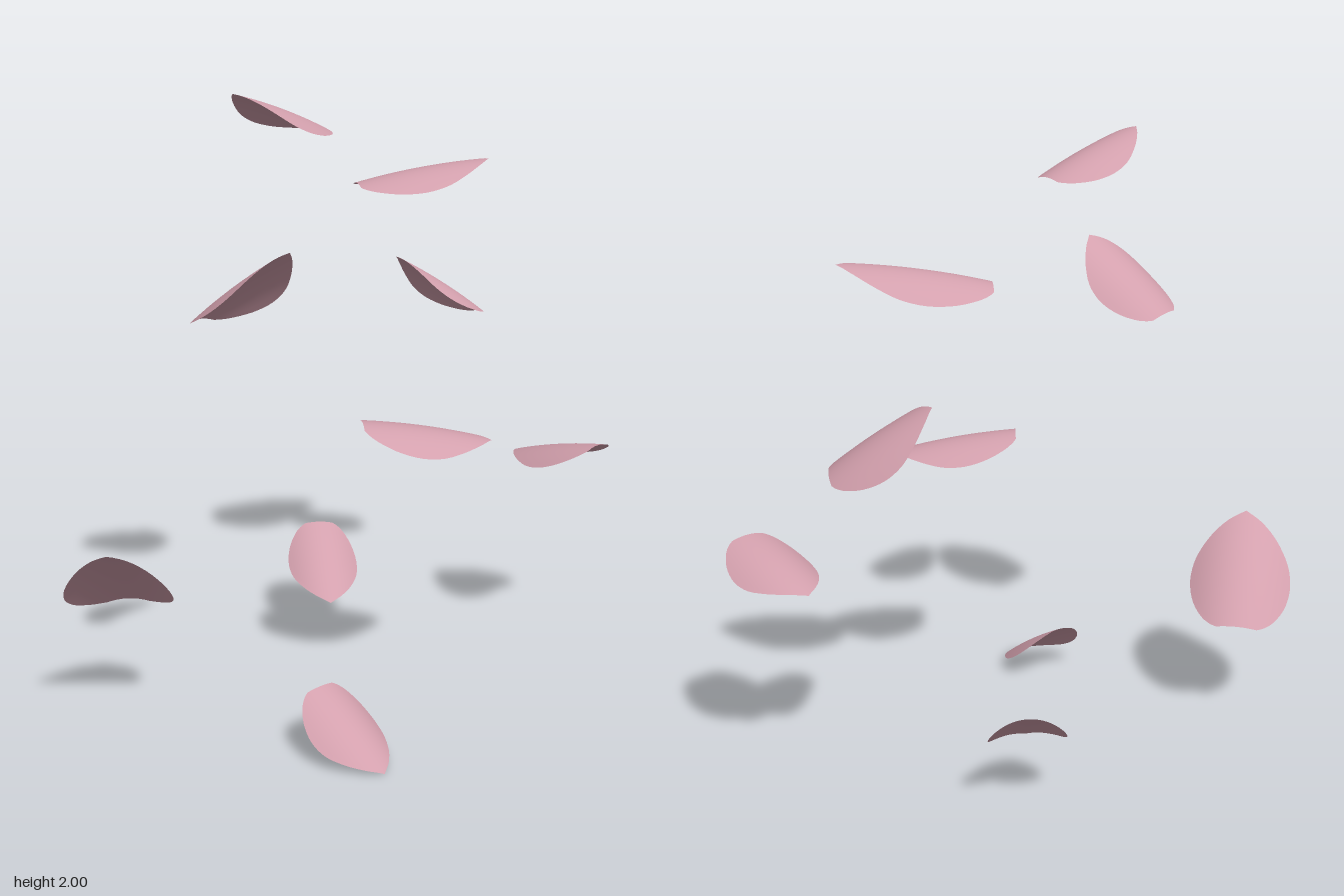
import * as THREE from 'three';

const petalPink = new THREE.MeshStandardMaterial({ color: 0xd3a0ad, side: THREE.DoubleSide });
petalPink.name = 'petalPink';

// Half-width outline from pointed tip (t = 0) to blunt base (t = 1)
const outline = new THREE.CatmullRomCurve3(
  [[0, 0], [0.1, 0.38], [0.25, 0.73], [0.42, 0.95], [0.58, 1], [0.75, 0.92], [0.9, 0.72], [0.97, 0.54], [1, 0.4]]
    .map(([t, w]) => new THREE.Vector3(t, w, 0)));

// Cupped petal: arched across its width, slightly bowed along its length
function petalGeometry(tip, base, up, halfWidth) {
  const T = new THREE.Vector3(...tip);
  const axis = new THREE.Vector3(...base).sub(T);
  const length = axis.length();
  const dir = axis.clone().normalize();
  const normal = new THREE.Vector3(...up);
  normal.addScaledVector(dir, -normal.dot(dir)).normalize();
  const side = new THREE.Vector3().crossVectors(dir, normal);

  const geo = new THREE.PlaneGeometry(2, 1, 16, 28);
  const pos = geo.attributes.position;
  const p = new THREE.Vector3();
  for (let i = 0; i < pos.count; i++) {
    const u = pos.getX(i);
    const o = outline.getPoint(0.5 - pos.getY(i));
    const across = u * o.y;
    const lift = 0.025 * length * 4 * o.x * (1 - o.x) - 0.4 * halfWidth * across * across;
    p.copy(T).addScaledVector(dir, o.x * length)
      .addScaledVector(side, across * halfWidth)
      .addScaledVector(normal, lift);
    pos.setXYZ(i, p.x, p.y, p.z);
  }
  geo.computeVertexNormals();
  return geo;
}

// Each petal: tip, base centre, direction of the convex side, half width
const petals = [
  [[-0.42, 2.0, -0.03], [-0.08, 1.87, -0.035], [0.38, 0.92, 0], 0.13],
  [[0.67, 1.69, -0.06], [0.265, 1.625, -0.27], [-0.18, 0.97, -0.15], 0.15],
  [[-0.48, 1.59, 0.305], [-0.59, 1.36, 0.02], [-0.08, 0.75, -0.66], 0.14],
  [[0.54, 1.32, -0.38], [0.795, 1.12, -0.22], [0.62, 0.77, 0.1], 0.135],
  [[0.23, 0.91, 0.42], [-0.115, 0.985, 0.2], [0.15, 0.97, 0.1], 0.142],
  [[0.765, 0.66, 0], [0.8, 0.755, 0.355], [0, 0.96, -0.28], 0.134],
  [[-0.875, 0.645, -0.1], [-0.63, 0.36, -0.36], [0.4, 0.72, -0.5], 0.17],
  [[0.16, 0.15, -0.285], [0.315, 0.345, -0.535], [-0.25, 0.8, 0.5], 0.123],
  [[-0.335, 0, 0.56], [-0.345, 0.19, 0.27], [0, 0.84, 0.54], 0.125],
];

export function createModel() {
  const group = new THREE.Group();
  group.name = 'driftingPetals';
  petals.forEach((spec, i) => {
    const mesh = new THREE.Mesh(petalGeometry(...spec), petalPink);
    mesh.name = `petal${i + 1}`;
    group.add(mesh);
  });
  return group;
}
